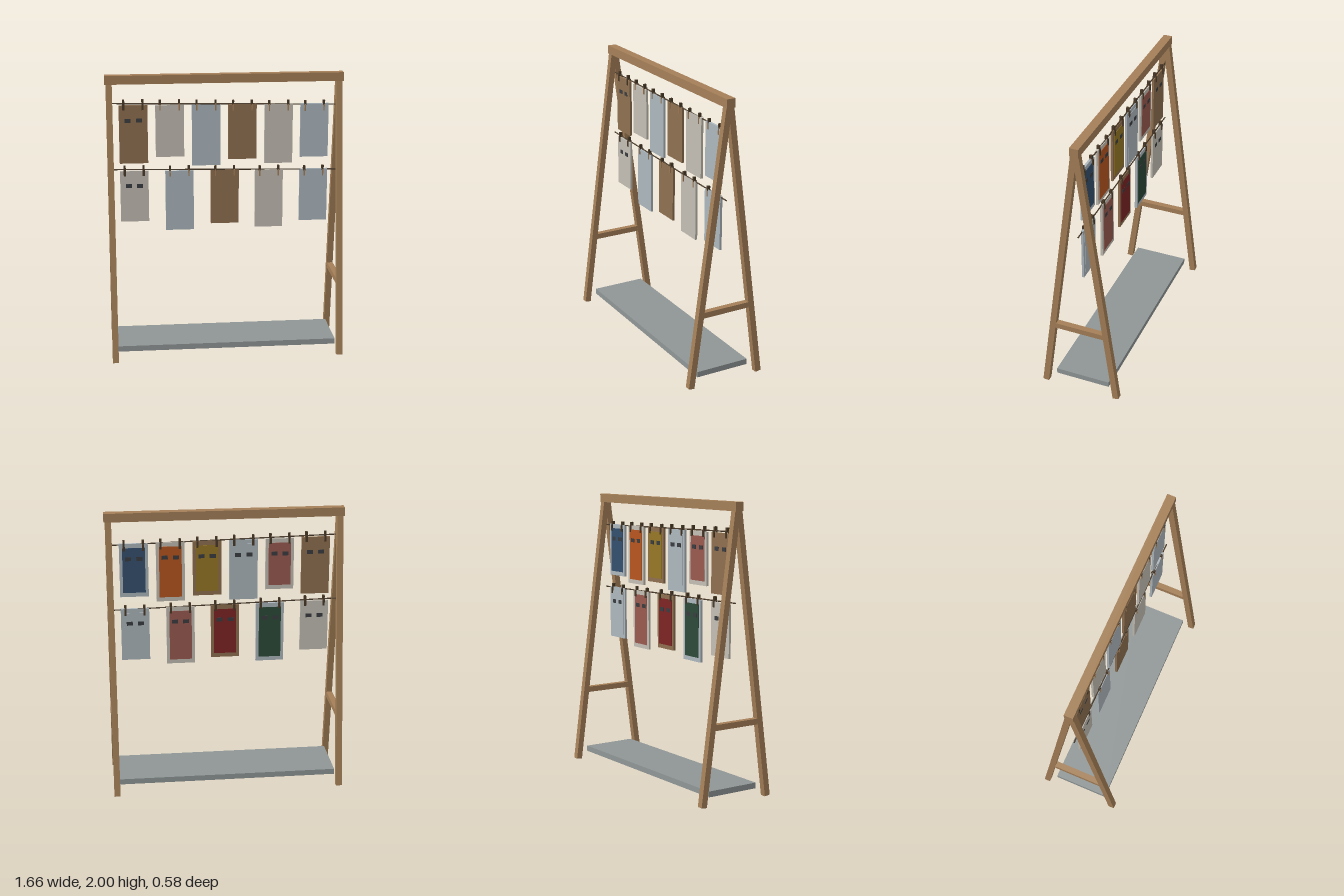
import * as THREE from 'three';

const mat = (color) => new THREE.MeshStandardMaterial({ color });
const WOOD = mat(0xa58058), SHELF = mat(0x909696), DARK = mat(0x4a3a28), SLOT = mat(0x3a3d40);
const BROWN = mat(0x8f7050), BEIGE = mat(0xc4bfb5), BLUEGREY = mat(0xaeb8be);
const NAVY = mat(0x35506f), ORANGE = mat(0xb8561f), GOLD = mat(0x967826), ROSE = mat(0x9a5a50);
const RED = mat(0x7e2424), GREEN = mat(0x2c4a38);

function box(parent, name, material, size, pos) {
  const mesh = new THREE.Mesh(new THREE.BoxGeometry(...size), material);
  mesh.name = name;
  mesh.position.set(...pos);
  parent.add(mesh);
  return mesh;
}

// Square bar running between two points
function beam(parent, name, material, a, b, w) {
  const from = new THREE.Vector3(...a), to = new THREE.Vector3(...b);
  const dir = to.clone().sub(from);
  const mesh = box(parent, name, material, [w, dir.length(), w], from.add(to).multiplyScalar(0.5).toArray());
  mesh.quaternion.setFromUnitVectors(new THREE.Vector3(0, 1, 0), dir.normalize());
  return mesh;
}

// Hanging panel with a face plate and two slots on its back, held by two pins
function hangingPanel(parent, x, top, bottom, wireY, body, plate) {
  const g = new THREE.Group();
  g.name = 'hangingPanel';
  g.position.x = x;
  parent.add(g);
  const h = top - bottom, mid = (top + bottom) / 2;
  box(g, 'panelBody', body, [0.198, h, 0.016], [0, mid, 0]);
  if (plate) box(g, 'facePlate', plate, [0.156, h - 0.06, 0.004], [0, mid, -0.009]);
  for (const s of [-1, 1]) {
    // Slots go right through the panels that have no plate
    const slotDepth = plate ? 0.008 : 0.02;
    box(g, 'slot', SLOT, [0.042, 0.028, slotDepth], [s * 0.039, top - 0.107, plate ? -0.009 : 0]);
    box(g, 'pinHead', DARK, [0.015, 0.034, 0.02], [s * 0.066, wireY + 0.011, 0]);
    box(g, 'pinBackJaw', DARK, [0.015, 0.046, 0.007], [s * 0.066, wireY - 0.022, -0.012]);
    box(g, 'pinFrontJaw', plate ? WOOD : DARK, [plate ? 0.009 : 0.015, 0.046, 0.005],
      [s * 0.066, wireY - 0.022, 0.01]);
  }
}

export function createModel() {
  const model = new THREE.Group();
  model.name = 'hangingRack';

  // A-frame ends
  for (const side of [-1, 1]) {
    const end = new THREE.Group();
    end.name = side > 0 ? 'leftFrame' : 'rightFrame';
    end.position.x = side * 0.798;
    model.add(end);
    for (const s of [-1, 1]) beam(end, 'leg', WOOD, [0, 0.003, s * 0.267], [0, 1.965, s * 0.004], 0.043);
    box(end, 'crossBrace', WOOD, [0.042, 0.04, 0.37], [0, 0.53, 0]);
  }
  box(model, 'topBeam', WOOD, [1.656, 0.06, 0.062], [0, 1.97, 0]);
  box(model, 'shelf', SHELF, [1.555, 0.04, 0.395], [0, 0.075, 0]);

  // Two gently sloping wires, each with a row of panels: x, top, bottom, body, plate
  const rows = [
    { y: 1.788, panels: [
      [-0.635, 1.79, 1.38, BROWN, null], [-0.383, 1.787, 1.422, BEIGE, ROSE],
      [-0.13, 1.786, 1.355, BLUEGREY, BLUEGREY], [0.124, 1.785, 1.395, BROWN, GOLD],
      [0.378, 1.783, 1.36, BEIGE, ORANGE], [0.63, 1.78, 1.4, BLUEGREY, NAVY]] },
    { y: 1.321, panels: [
      [-0.635, 1.325, 0.96, BEIGE, null], [-0.319, 1.32, 0.89, BLUEGREY, GREEN],
      [0, 1.318, 0.93, BROWN, RED], [0.313, 1.315, 0.895, BEIGE, ROSE],
      [0.63, 1.312, 0.935, BLUEGREY, BLUEGREY]] },
  ];
  for (const { y, panels } of rows) {
    const wireY = (x) => y - 0.021 * x;
    const curve = new THREE.LineCurve3(
      new THREE.Vector3(-0.8, wireY(-0.8), 0), new THREE.Vector3(0.8, wireY(0.8), 0));
    const wire = new THREE.Mesh(new THREE.TubeGeometry(curve, 1, 0.0045, 8), DARK);
    wire.name = 'wire';
    model.add(wire);
    for (const [x, top, bottom, body, plate] of panels)
      hangingPanel(model, x, top, bottom, wireY(x), body, plate);
  }
  return model;
}
